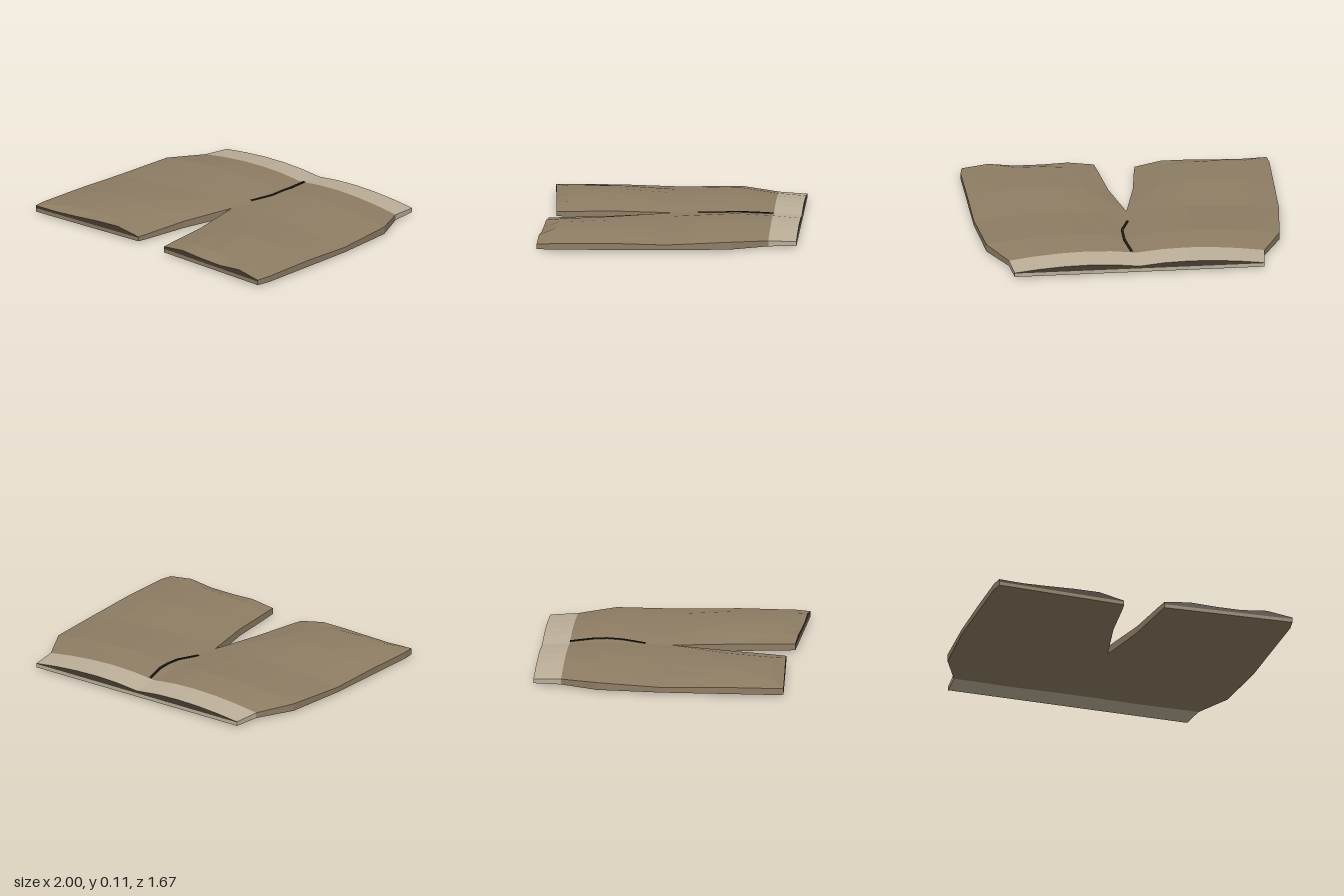
import * as THREE from 'three';

const FLOOR = 0.012, LIP = 0.036;
const US = [0, 0.2, 0.4, 0.6, 0.8, 1];          // columns from centre line to outer seam
const PUFF = [0, 0.7, 1, 0.95, 0.6, 0];         // how the cloth swells across a row
const SAG = [0, 0.3, 0.9, 1, 0.3, 0];           // seat bulge on the underside
const lerp = THREE.MathUtils.lerp;

// Rows: z at inner and outer end, x inner and outer, heights inner, ridge, outer, seat sag
const waistRows = [
  [-0.84, -0.84, 0, 0.81, 0.052, 0.074, 0.04, 0],
  [-0.66, -0.66, 0, 0.83, 0.068, 0.09, 0.048, 0.003],
];
const bodyRows = [
  waistRows[1],
  [-0.42, -0.42, 0, 0.95, 0.08, 0.108, 0.06, 0.012],
  [0, 0, 0, 0.99, 0.066, 0.085, 0.046, 0],
  [0.37, 0.37, 0.08, 0.995, 0.058, 0.102, 0.055, 0],
];
// The two legs end at different lengths and with different folds at the hem
const legs = {
  1: [[0.69, 0.74, 0.117, 1, 0.054, 0.088, 0.05, 0],
    [0.79, 0.83, 0.13, 0.985, [0.052, 0.07, 0.06, 0.057, 0.073, 0.046]]],
  '-1': [[0.67, 0.71, 0.117, 1, 0.046, 0.088, 0.055, 0],
    [0.75, 0.79, 0.13, 0.99, [0.042, 0.074, 0.07, 0.06, 0.052, 0.054]]],
};

function topPoint(r, j, s) {
  const [z0, z1, x0, x1, yi, ridge, yo] = r, u = US[j];
  const y = Array.isArray(yi) ? yi[j]
    : lerp(yi, yo, u) + (ridge - lerp(yi, yo, 0.4)) * PUFF[j];
  return [s * lerp(x0, x1, u), y, lerp(z0, z1, u)];
}

function bottomPoint(r, j, s) {
  const p = topPoint(r, j, s);
  return [p[0], FLOOR - (r[7] || 0) * SAG[j], p[2]];
}

const withY = (p, y) => [p[0], y, p[2]];

// Faceted sheet through rows of points
function sheet(name, rows, flip, material) {
  const pos = [];
  for (let i = 0; i < rows.length - 1; i++) {
    for (let j = 0; j < rows[i].length - 1; j++) {
      const a = rows[i][j], b = rows[i + 1][j], c = rows[i + 1][j + 1], d = rows[i][j + 1];
      const tris = flip ? [a, c, b, a, d, c] : [a, b, c, a, c, d];
      for (const p of tris) pos.push(...p);
    }
  }
  const g = new THREE.BufferGeometry();
  g.setAttribute('position', new THREE.Float32BufferAttribute(pos, 3));
  g.computeVertexNormals();
  const mesh = new THREE.Mesh(g, material);
  mesh.name = name;
  return mesh;
}

// Top cloth, underside and outer side wall of one panel
function panel(name, rows, s, material) {
  const group = new THREE.Group();
  group.name = name;
  const flip = s < 0, n = US.length - 1;
  const top = rows.map(r => US.map((_, j) => topPoint(r, j, s)));
  const under = rows.map(r => US.map((_, j) => bottomPoint(r, j, s)));
  group.add(sheet('topCloth', top, flip, material));
  group.add(sheet('underside', under, !flip, material));
  group.add(sheet('outerSide', [under.map(r => r[n]), top.map(r => r[n])], flip, material));
  return group;
}

// Lower hem edge with the dark opening above it
function opening(name, row, flip, s, material, dark) {
  const group = new THREE.Group();
  group.name = name;
  const top = US.map((_, j) => topPoint(row, j, s));
  const lip = top.map(p => withY(p, LIP));
  group.add(sheet('hemEdge', [top.map(p => withY(p, FLOOR)), lip], flip, material));
  group.add(sheet('openingShade', [lip, top], flip, dark));
  return group;
}

export function createModel() {
  const mat = (name, color) => {
    const m = new THREE.MeshStandardMaterial({ color });
    m.name = name;
    m.flatShading = true;
    return m;
  };
  const cloth = mat('brownCloth', 0x8e7d64);
  const band = mat('paleWaistband', 0xbbae98);
  const dark = mat('darkOpening', 0x453b2f);
  const thread = mat('blackStitch', 0x211e19);

  const shorts = new THREE.Group();
  shorts.name = 'shorts';
  for (const s of [1, -1]) {
    const side = s > 0 ? 'left' : 'right';
    const rows = [...bodyRows, ...legs[s]];
    shorts.add(panel(side + 'Waistband', waistRows, s, band));
    shorts.add(panel(side + 'Leg', rows, s, cloth));
    shorts.add(opening(side + 'WaistOpening', waistRows[0], s < 0, s, band, dark));
    shorts.add(opening(side + 'LegOpening', rows[rows.length - 1], s > 0, s, cloth, dark));
    // Inner leg wall below the crotch
    const inner = rows.slice(2).map(r => topPoint(r, 0, s));
    shorts.add(sheet(side + 'InnerLeg', [inner.map(p => withY(p, FLOOR)), inner], s > 0, cloth));
  }

  // Fly stitch: a thin raised ribbon following the front
  const path = [[0.03, 0.077, -0.66], [0.046, 0.084, -0.58], [0.062, 0.09, -0.5],
    [0.064, 0.092, -0.42], [0.06, 0.087, -0.32], [0.01, 0.077, -0.17]];
  const edge = (dx, dy) => path.map(([x, y, z]) => [x + dx, y + dy, z]);
  const W = 0.008;
  const loop = [edge(-W, -0.007), edge(-W, 0), edge(W, 0), edge(W, -0.007)];
  shorts.add(sheet('flyStitch', loop, true, thread));
  return shorts;
}
